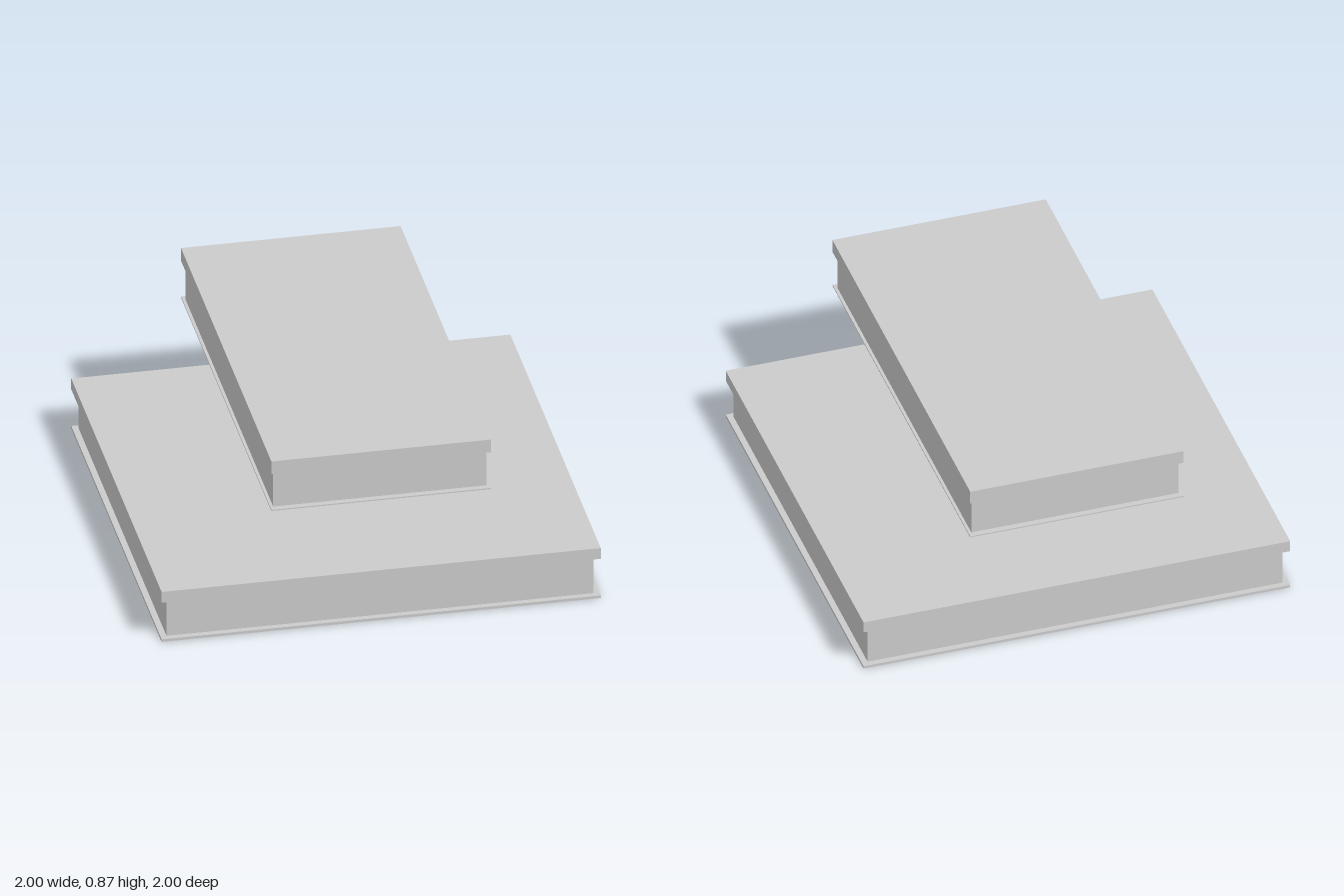
import * as THREE from 'three';

const material = new THREE.MeshStandardMaterial({ color: 0xcccccc, flatShading: true });

// Box between two heights; its underside can be narrower than its top.
function block(name, y0, y1, [topX, topZ], [bottomX, bottomZ] = [topX, topZ]) {
  const geometry = new THREE.BoxGeometry(2 * topX, y1 - y0, 2 * topZ);
  const p = geometry.attributes.position;
  for (let i = 0; i < p.count; i++) {
    if (p.getY(i) < 0) {
      p.setX(i, Math.sign(p.getX(i)) * bottomX);
      p.setZ(i, Math.sign(p.getZ(i)) * bottomZ);
    }
  }
  geometry.translate(0, (y0 + y1) / 2, 0);
  geometry.computeVertexNormals();
  const mesh = new THREE.Mesh(geometry, material);
  mesh.name = name;
  return mesh;
}

// One tier: thin foot plate, recessed body, flared moulding and top slab.
function tier(name, outer, inner, [foot, plateTop, flareStart, flareEnd, top]) {
  const group = new THREE.Group();
  group.name = name;
  group.add(
    block('footPlate', foot, plateTop, outer),
    block('body', plateTop, flareStart, inner),
    block('flare', flareStart, flareEnd, outer, inner),
    block('topSlab', flareEnd, top, outer)
  );
  return group;
}

export function createModel() {
  const model = new THREE.Group();
  model.name = 'tieredPlatform';
  model.add(
    tier('lowerTier', [1, 1], [0.972, 0.972], [0, 0.013, 0.187, 0.2, 0.255]),
    tier('upperTier', [0.5, 1], [0.486, 0.972], [0.612, 0.618, 0.79, 0.8, 0.865])
  );
  return model;
}
